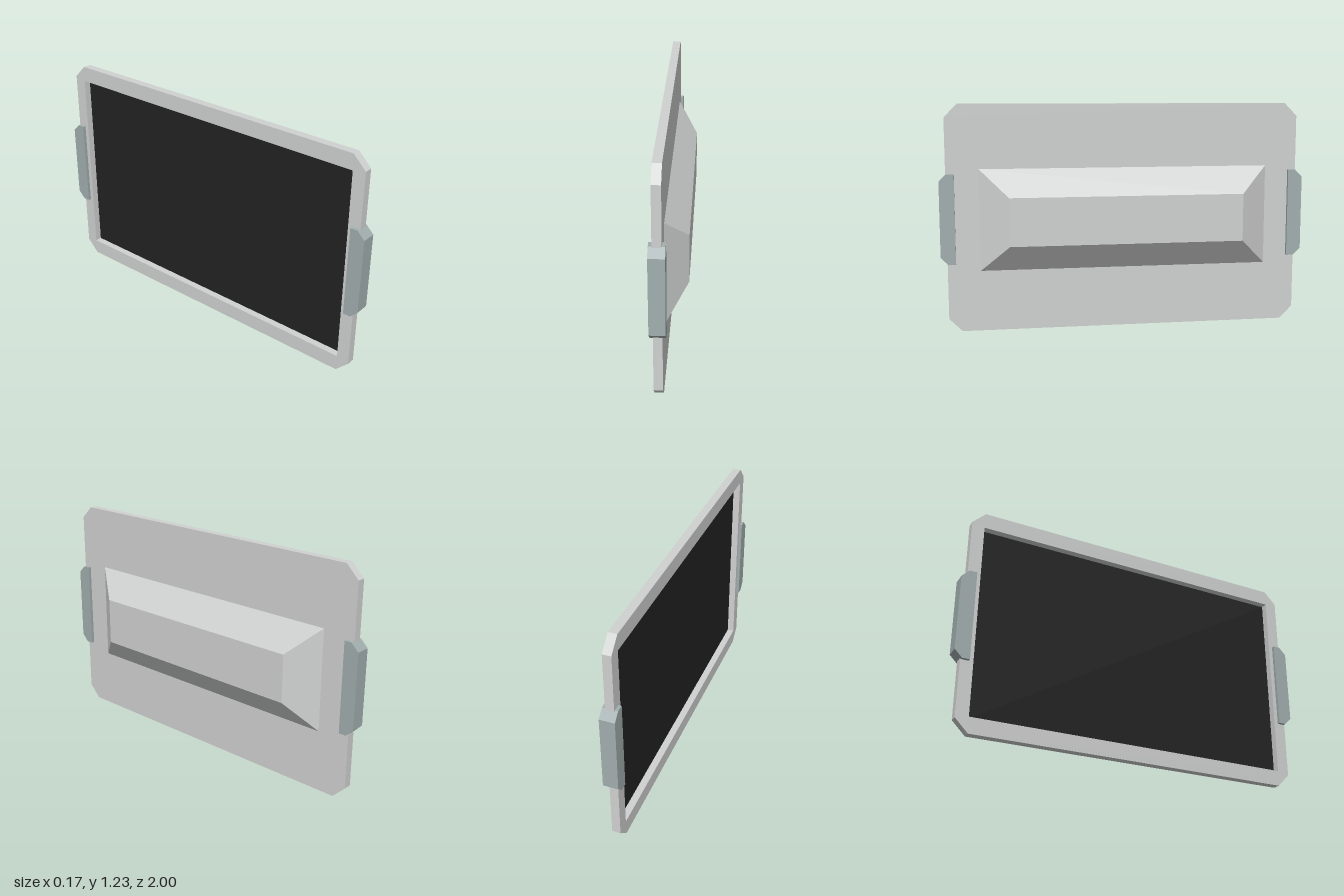
import * as THREE from 'three';

// Outline with cut corners, drawn across (-z, y)
function cutCorners(target, x0, x1, y0, y1, c) {
  const pts = [
    [x0 + c, y0], [x1 - c, y0], [x1, y0 + c], [x1, y1 - c],
    [x1 - c, y1], [x0 + c, y1], [x0, y1 - c], [x0, y0 + c],
  ];
  target.setFromPoints(pts.map(([x, y]) => new THREE.Vector2(x, y)));
  return target;
}

// Extrude a shape so that its thickness runs along x, from xa to xb
function slab(shape, xa, xb) {
  const geo = new THREE.ExtrudeGeometry(shape, { depth: xb - xa, bevelEnabled: false });
  return geo.rotateY(Math.PI / 2).translate(xa, 0, 0);
}

export function createModel() {
  const group = new THREE.Group();
  const shellGrey = new THREE.MeshStandardMaterial({ color: 0xd0d2d1 });
  shellGrey.name = 'shellGrey';
  const clipGrey = new THREE.MeshStandardMaterial({ color: 0xa2aeae });
  clipGrey.name = 'clipGrey';
  const screenBlack = new THREE.MeshStandardMaterial({ color: 0x222222 });
  screenBlack.name = 'screenBlack';

  const add = (name, geo, mat) => {
    const mesh = new THREE.Mesh(geo, mat);
    mesh.name = name;
    group.add(mesh);
    return mesh;
  };

  // Frame around the recessed screen
  const frame = cutCorners(new THREE.Shape(), -0.965, 0.965, 0, 1.225, 0.07);
  const opening = new THREE.Path().setFromPoints([
    new THREE.Vector2(-0.897, 0.085), new THREE.Vector2(-0.897, 1.14),
    new THREE.Vector2(0.897, 1.14), new THREE.Vector2(0.897, 0.085),
  ]);
  frame.holes.push(opening);
  add('frame', slab(frame, -0.071, -0.03), shellGrey);

  // Plate closing the other side
  const plate = cutCorners(new THREE.Shape(), -0.965, 0.965, 0, 1.225, 0.07);
  add('backPlate', slab(plate, -0.03, -0.026), shellGrey);

  // Screen at the bottom of the recess
  const screen = new THREE.BoxGeometry(0.003, 1.055, 1.794).translate(-0.0315, 0.6125, 0);
  add('screen', screen, screenBlack);

  // Raised housing: a box whose outer face is drawn in
  const housing = new THREE.BoxGeometry(0.111, 0.55, 1.58);
  const pos = housing.attributes.position;
  for (let i = 0; i < pos.count; i++) {
    if (pos.getX(i) > 0) {
      pos.setY(i, pos.getY(i) * 0.26 / 0.55);
      pos.setZ(i, pos.getZ(i) * 1.27 / 1.58);
    }
  }
  housing.computeVertexNormals();
  housing.translate(0.0295, 0.605, 0);
  add('housing', housing, shellGrey);

  // Side clips with cut outer corners
  for (const s of [1, -1]) {
    const pts = [[0.92, 0.37], [0.96, 0.37], [1, 0.41], [1, 0.815], [0.96, 0.855], [0.92, 0.855]];
    const clip = new THREE.Shape(pts.map(([z, y]) => new THREE.Vector2(-s * z, y)));
    add(s > 0 ? 'frontClip' : 'rearClip', slab(clip, -0.088, -0.009), clipGrey);
  }

  return group;
}
